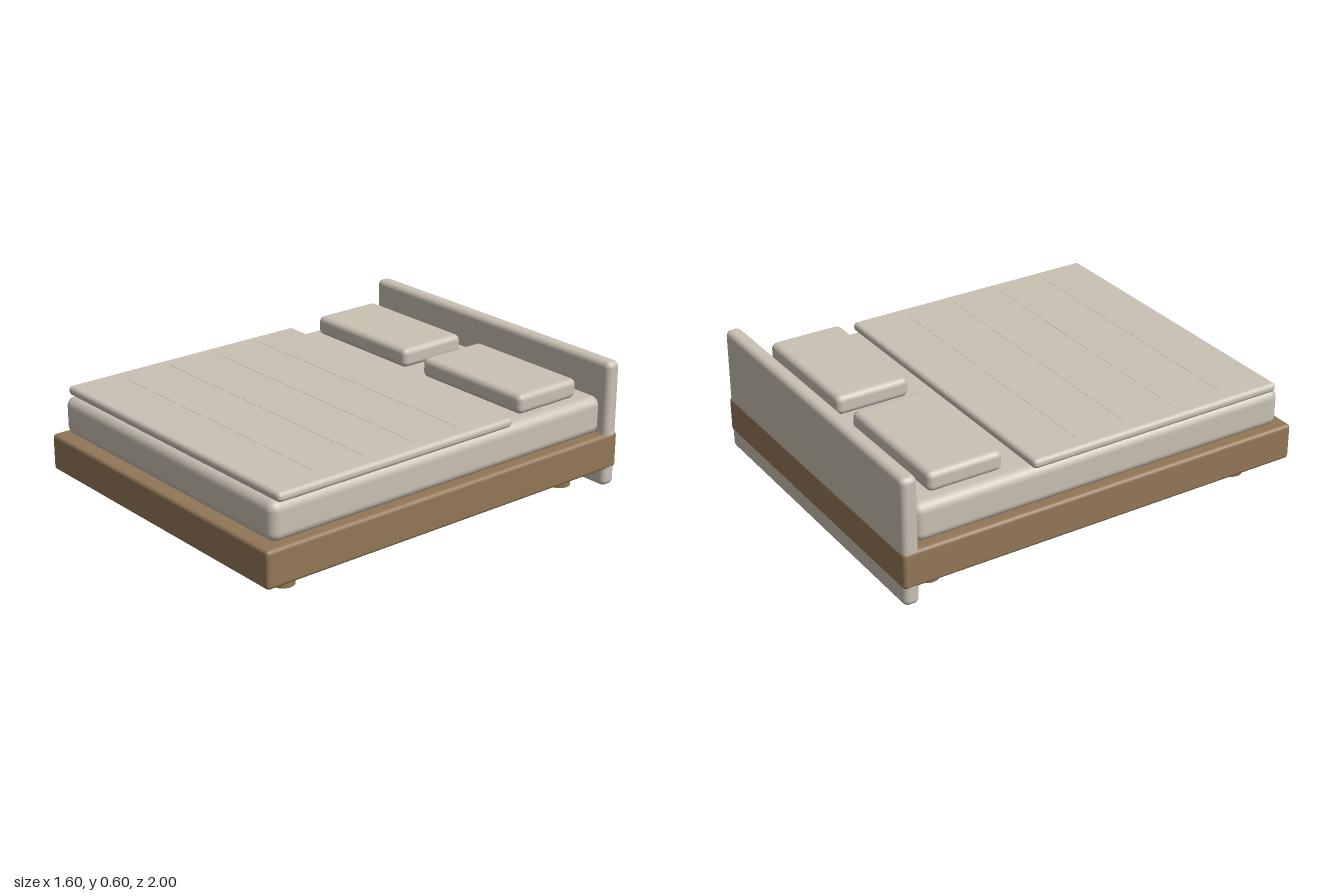
import * as THREE from 'three';
import { RoundedBoxGeometry } from 'three/addons/geometries/RoundedBoxGeometry.js';

export function createModel() {
  const bed = new THREE.Group();
  bed.name = 'bed';

  const linen = new THREE.MeshStandardMaterial({ color: 0xc9c1b3 });
  linen.name = 'linen';
  const wood = new THREE.MeshStandardMaterial({ color: 0x937757 });
  wood.name = 'wood';

  const add = (name, geometry, material, x, y, z) => {
    const mesh = new THREE.Mesh(geometry, material);
    mesh.name = name;
    mesh.position.set(x, y, z);
    bed.add(mesh);
    return mesh;
  };

  // Soft-edged block given by its extents on each axis
  const block = (name, material, [x0, x1], [y0, y1], [z0, z1], radius) =>
    add(name, new RoundedBoxGeometry(x1 - x0, y1 - y0, z1 - z0, 4, radius), material,
      (x0 + x1) / 2, (y0 + y1) / 2, (z0 + z1) / 2);

  // Frame wraps flush around the headboard, a hair proud of it
  block('frame', wood, [-0.8, 0.8], [0.085, 0.258], [-1, 1], 0.018);
  block('headboard', linen, [-0.798, 0.798], [0, 0.6], [-0.998, -0.922], 0.028);

  // Bedding
  block('mattress', linen, [-0.767, 0.767], [0.256, 0.438], [-0.924, 0.95], 0.045);
  block('duvet', linen, [-0.775, 0.775], [0.434, 0.478], [-0.358, 0.92], 0.02);

  // Quilting seams across the duvet
  for (let i = 1; i <= 4; i++) {
    const z = -0.358 + (1.278 * i) / 5;
    add('duvetSeam', new THREE.BoxGeometry(1.4, 0.002, 0.005), linen, 0, 0.478, z);
  }

  // Mirrored pillows and legs
  for (const [side, s] of [['left', 1], ['right', -1]]) {
    const pillow = block(side + 'Pillow', linen, [0.06, 0.704], [0.436, 0.528], [-0.822, -0.465], 0.028);
    pillow.position.x *= s;
    for (const [end, z] of [['Front', 0.8], ['Back', -0.8]]) {
      add(side + end + 'Leg', new THREE.CylinderGeometry(0.051, 0.051, 0.1, 24), wood, s * 0.64, 0.05, z);
    }
  }

  return bed;
}
